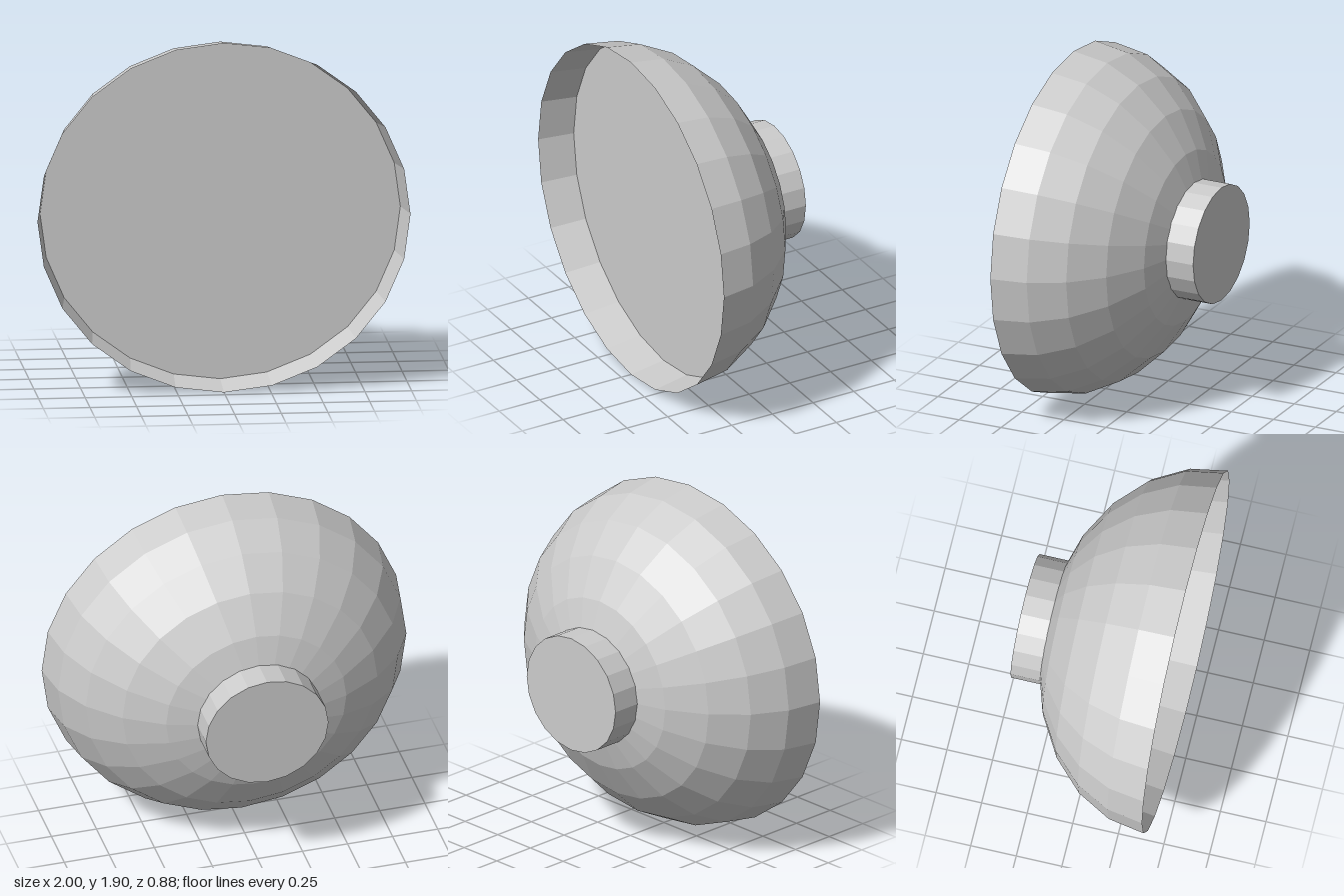
import * as THREE from 'three';

const CENTRE_Y = 0.952;   // the round outline is slightly flattened in height
const RIM_Z = 0.44;
const DEPTH = 0.77;       // depth of the full half-dome
const STEP = Math.PI / 12; // one ring of the dome

export function createModel() {
  const model = new THREE.Group();
  model.name = 'domeLamp';

  const solid = new THREE.MeshStandardMaterial({ color: 0xcccccc, flatShading: true });
  const shell = solid.clone();
  shell.side = THREE.DoubleSide;

  const add = (name, geometry, material, z) => {
    const mesh = new THREE.Mesh(geometry, material);
    mesh.name = name;
    mesh.position.set(0, CENTRE_Y, z);
    model.add(mesh);
  };

  // Thin half-dome, open towards the front
  const dome = new THREE.SphereGeometry(1, 24, 6, 0, Math.PI * 2, Math.PI / 2, Math.PI / 2);
  dome.rotateX(Math.PI / 2).scale(1, CENTRE_Y, DEPTH);
  add('domeShell', dome, shell, RIM_Z);

  // Flat front panel, set back by one ring
  const panel = new THREE.CircleGeometry(Math.cos(STEP), 24);
  panel.scale(1, CENTRE_Y, 1);
  add('frontPanel', panel, shell, RIM_Z - DEPTH * Math.sin(STEP));

  // Short round neck at the back, sunk slightly into the dome
  const neck = new THREE.CylinderGeometry(0.34, 0.34, 0.18, 20);
  neck.rotateX(Math.PI / 2).scale(1, CENTRE_Y, 1);
  add('backNeck', neck, solid, -0.35);

  return model;
}
